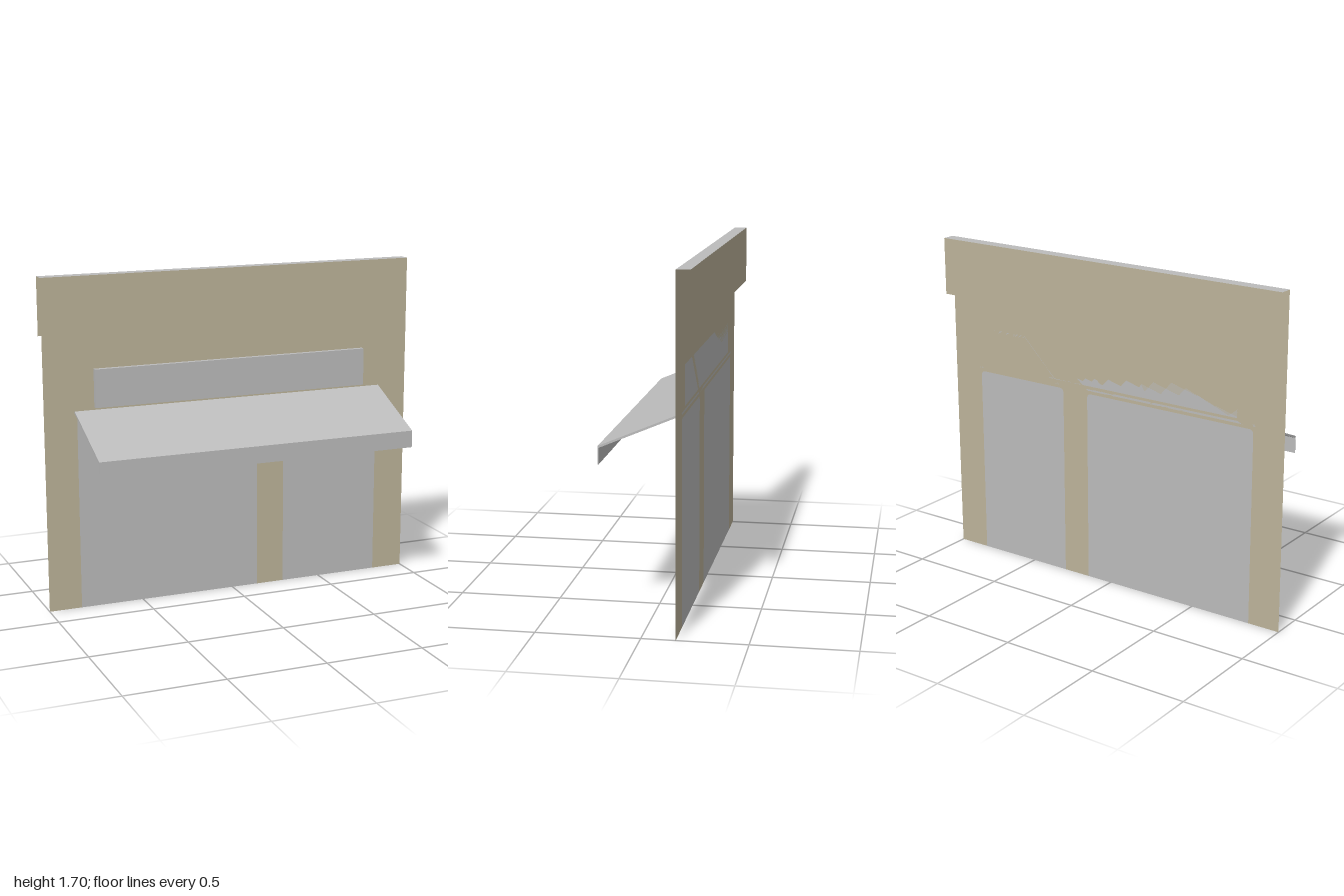
import * as THREE from 'three';

export function createModel() {
  const model = new THREE.Group();
  const material = (name, color) => {
    const m = new THREE.MeshStandardMaterial({ color, side: THREE.DoubleSide });
    m.name = name;
    return m;
  };
  const tan = material('tan wall', 0xbdb49a);
  const grey = material('grey', 0xbcbcbc);

  const wallZ = -0.163, backZ = -0.228, frontZ = 0.228, height = 1.7;
  const add = (name, geometry, mat, x = 0, y = 0, z = 0) => {
    const mesh = new THREE.Mesh(geometry, mat);
    mesh.name = name;
    mesh.position.set(x, y, z);
    model.add(mesh);
    return mesh;
  };

  // Shop-front openings: left edge, right edge
  const openings = [[-0.83, 0.14], [0.29, 0.83]];
  const top = 1.0, r = 0.025;
  const traceOpening = (path, a, b) => {
    path.lineTo(a, top - r);
    path.quadraticCurveTo(a, top, a + r, top);
    path.lineTo(b - r, top);
    path.quadraticCurveTo(b, top, b, top - r);
    path.lineTo(b, 0);
  };

  // Wall sheet notched around the openings
  const wall = new THREE.Shape().moveTo(-1, 0);
  for (const [a, b] of openings) {
    wall.lineTo(a, 0);
    traceOpening(wall, a, b);
  }
  wall.lineTo(1, 0).lineTo(1, height).lineTo(-1, height).closePath();
  add('wall', new THREE.ShapeGeometry(wall), tan, 0, 0, wallZ);

  // Grey panels filling the openings
  for (const [a, b] of openings) {
    const panel = new THREE.Shape().moveTo(a, 0);
    traceOpening(panel, a, b);
    panel.closePath();
    add('shopPanel', new THREE.ShapeGeometry(panel), grey, 0, 0, wallZ);
  }

  // Parapet: open-ended cap and the short sheet hanging behind it
  const capDepth = wallZ - backZ;
  add('parapetCap', new THREE.PlaneGeometry(2, capDepth).rotateX(-Math.PI / 2), grey,
    0, height, (wallZ + backZ) / 2);
  add('parapetBack', new THREE.PlaneGeometry(2, 0.295).rotateY(Math.PI), tan,
    0, height - 0.1475, backZ);

  // Sign board above the awning
  add('signBoard', new THREE.BoxGeometry(1.48, 0.195, 0.026), grey, 0, 1.138, wallZ + 0.013);

  // Sloping awning: thin slab extruded along x from its side profile
  const slope = new THREE.Shape([
    [wallZ, 1.027], [wallZ, 1.016], [frontZ, 0.85], [frontZ, 0.861],
  ].map(([z, y]) => new THREE.Vector2(-z, y)));
  const awning = new THREE.ExtrudeGeometry(slope, { depth: 1.684, bevelEnabled: false });
  awning.translate(0, 0, -0.842).rotateY(Math.PI / 2);
  add('awning', awning, grey);

  // Valance along the awning's front edge
  add('valance', new THREE.BoxGeometry(1.684, 0.082, 0.004), grey, 0, 0.814, frontZ - 0.002);

  return model;
}
